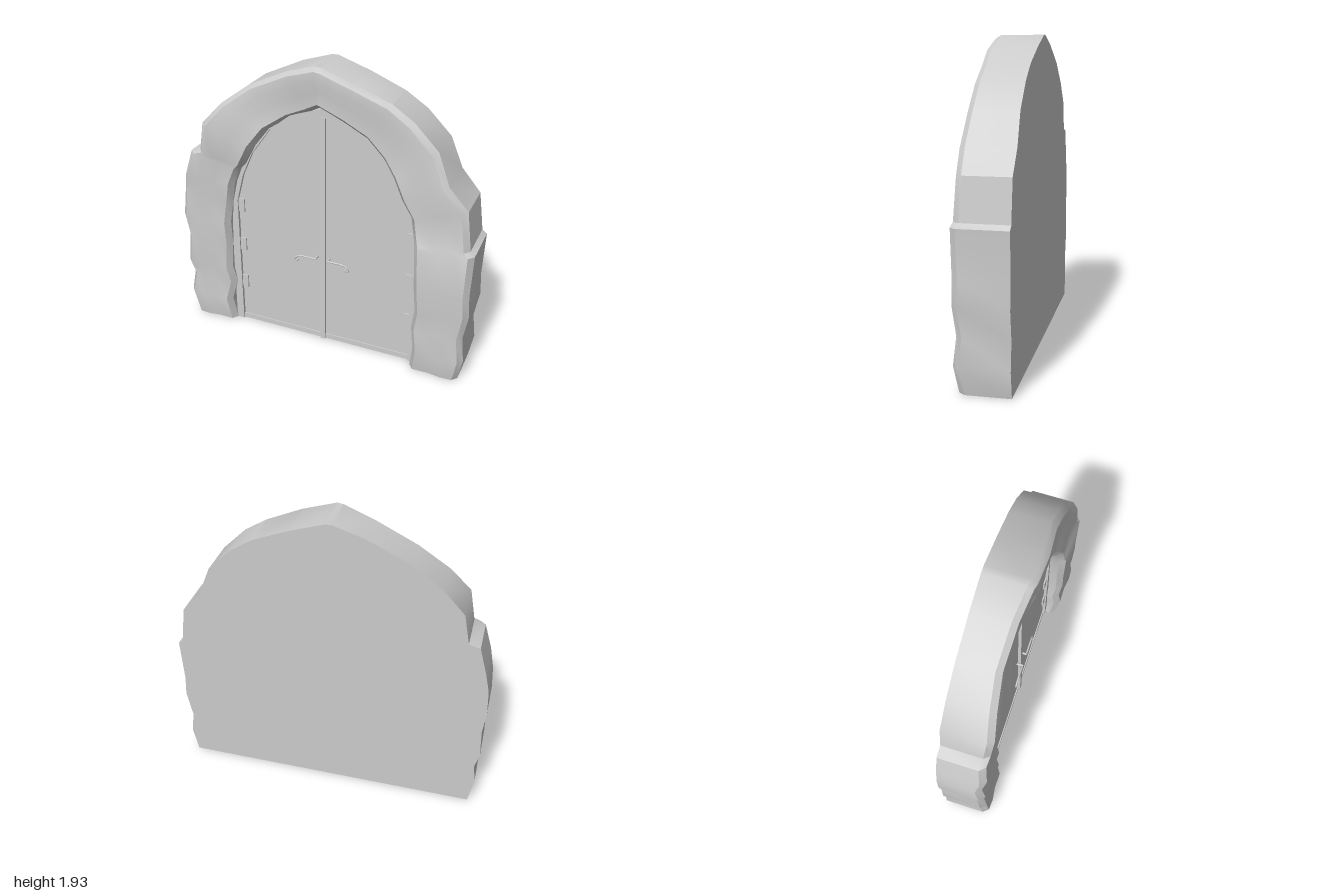
import * as THREE from 'three';
import { toCreasedNormals } from 'three/addons/utils/BufferGeometryUtils.js';

const BACK = -0.175, DOOR = 0.03;
const mat = new THREE.MeshStandardMaterial({ color: 0xcccccc, side: THREE.DoubleSide });

// Stations along the stone arch: outer x, y, inner x, y, front z
const STATIONS = [
  [-0.955, 0, -0.68, 0, 0.1], [-0.985, 0.18, -0.70, 0.17, 0.125], [-0.97, 0.32, -0.67, 0.31, 0.1],
  [-0.995, 0.42, -0.69, 0.43, 0.12], [-0.985, 0.62, -0.685, 0.61, 0.105], [-1.0, 0.78, -0.68, 0.78, 0.125],
  [-0.99, 0.95, -0.665, 0.93, 0.105], [-0.96, 1.08, -0.63, 1.08, 0.13], [-0.91, 1.255, -0.59, 1.19, 0.115],
  [-0.84, 1.275, -0.56, 1.22, 0.12], [-0.8, 1.47, -0.48, 1.37, 0.135], [-0.67, 1.61, -0.38, 1.5, 0.11],
  [-0.48, 1.75, -0.23, 1.6, 0.085], [-0.22, 1.87, -0.1, 1.66, 0.095], [-0.03, 1.93, -0.01, 1.71, 0.12],
  [0.01, 1.93, 0.01, 1.71, 0.13], [0.22, 1.86, 0.16, 1.65, 0.135], [0.44, 1.77, 0.31, 1.56, 0.115],
  [0.58, 1.68, 0.42, 1.45, 0.12], [0.73, 1.53, 0.49, 1.34, 0.125], [0.81, 1.34, 0.56, 1.21, 0.15],
  [0.93, 1.2, 0.62, 1.1, 0.14], [0.965, 0.955, 0.65, 0.93, 0.15], [0.995, 0.93, 0.655, 0.91, 0.16],
  [0.985, 0.64, 0.665, 0.62, 0.155], [0.995, 0.5, 0.68, 0.46, 0.155], [0.965, 0.325, 0.66, 0.31, 0.14],
  [0.985, 0.16, 0.68, 0.16, 0.155], [0.955, 0, 0.66, 0, 0.13],
];

// Half outline of the door opening, from floor to apex
const OPENING = [[0.605, 0], [0.605, 0.94], [0.555, 1.13], [0.485, 1.29], [0.35, 1.48], [0.2, 1.55], [0, 1.615]];

function add(parent, geometry, name, x = 0, y = 0, z = 0) {
  const mesh = new THREE.Mesh(geometry, mat);
  mesh.name = name;
  mesh.position.set(x, y, z);
  parent.add(mesh);
  return mesh;
}

const box = (w, h, d) => new THREE.BoxGeometry(w, h, d);
const slab = (shape, depth) => new THREE.ExtrudeGeometry(shape, { depth, bevelEnabled: false });
const shapeOf = pts => new THREE.Shape(pts.map(([x, y]) => new THREE.Vector2(x, y)));

// Loft a rough stone cross-section through all stations
function stoneGeometry() {
  const pos = [], index = [];
  let ring = 0;
  for (const [ox, oy, ix, iy, z] of STATIONS) {
    const len = Math.hypot(ix - ox, iy - oy);
    // t runs from the outer edge (0) to the inner edge (1)
    const section = [
      [0, BACK], [0, z - 0.04], [0.1, z - 0.004], [0.35, z], [0.65, z - 0.012],
      [1, z - 0.01], [1 + 0.03 / len, z - 0.05], [1 + 0.03 / len, -0.01],
    ];
    ring = section.length;
    for (const [t, d] of section) pos.push(ox + (ix - ox) * t, oy + (iy - oy) * t, d);
  }
  for (let i = 0; i < STATIONS.length - 1; i++) {
    for (let j = 0; j < ring - 1; j++) {
      const a = i * ring + j, b = a + ring;
      index.push(a, a + 1, b, a + 1, b + 1, b);
    }
  }
  const g = new THREE.BufferGeometry();
  g.setAttribute('position', new THREE.Float32BufferAttribute(pos, 3));
  g.setIndex(index);
  return toCreasedNormals(g, 0.55);
}

// Lever with a curled tip, standing off the door on a short post
function handle(side) {
  const g = new THREE.Group();
  g.name = side > 0 ? 'leftHandle' : 'rightHandle';
  const z = DOOR + 0.04;
  const path = [[0.04, 0.635], [0.09, 0.636], [0.145, 0.635], [0.175, 0.622], [0.188, 0.602], [0.178, 0.592], [0.168, 0.6]]
    .map(([x, y]) => new THREE.Vector3(side * x, y, z));
  add(g, new THREE.TubeGeometry(new THREE.CatmullRomCurve3(path), 28, 0.006, 8), 'lever');
  add(g, new THREE.SphereGeometry(0.008, 8, 6), 'leverTip', side * 0.168, 0.6, z);
  const post = add(g, new THREE.CylinderGeometry(0.008, 0.008, 0.045, 8), 'handlePost', side * 0.042, 0.635, DOOR + 0.02);
  post.rotation.x = Math.PI / 2;
  return g;
}

export function createModel() {
  const model = new THREE.Group();
  model.name = 'archedDoor';

  // Stone surround and the flat back that closes it
  add(model, stoneGeometry(), 'stoneArch');
  add(model, new THREE.ShapeGeometry(shapeOf(STATIONS).clone()), 'backPanel', 0, 0, BACK);

  // Door frame: a band around the opening
  const mirror = half => [...half, ...half.slice(0, -1).reverse().map(([x, y]) => [-x, y])];
  const inner = mirror(OPENING);
  const outer = mirror(OPENING.map(([x, y]) => [x * 1.085, y > 1 ? y + 0.05 * (y - 0.9) / 0.7 : y]));
  add(model, slab(shapeOf([...outer, ...inner.slice().reverse()]), 0.07), 'doorFrame', 0, 0, -0.02);

  // Two thin leaves, centre post and threshold
  for (const s of [1, -1]) {
    const leaf = [[0, 0], ...OPENING].map(([x, y]) => [s * x, y]);
    add(model, slab(shapeOf(leaf), 0.02), s > 0 ? 'leftLeaf' : 'rightLeaf', 0, 0, DOOR - 0.02);
    for (const y of [0.31, 0.605, 0.9]) {
      add(model, box(0.045, 0.095, 0.012), 'hinge', s * 0.585, y, DOOR + 0.004);
    }
    model.add(handle(s));
  }
  add(model, box(0.034, 1.61, 0.05), 'centrePost', 0, 0.805, DOOR - 0.005);
  add(model, box(1.21, 0.035, 0.025), 'threshold', 0, 0.0175, DOOR - 0.005);

  return model;
}
